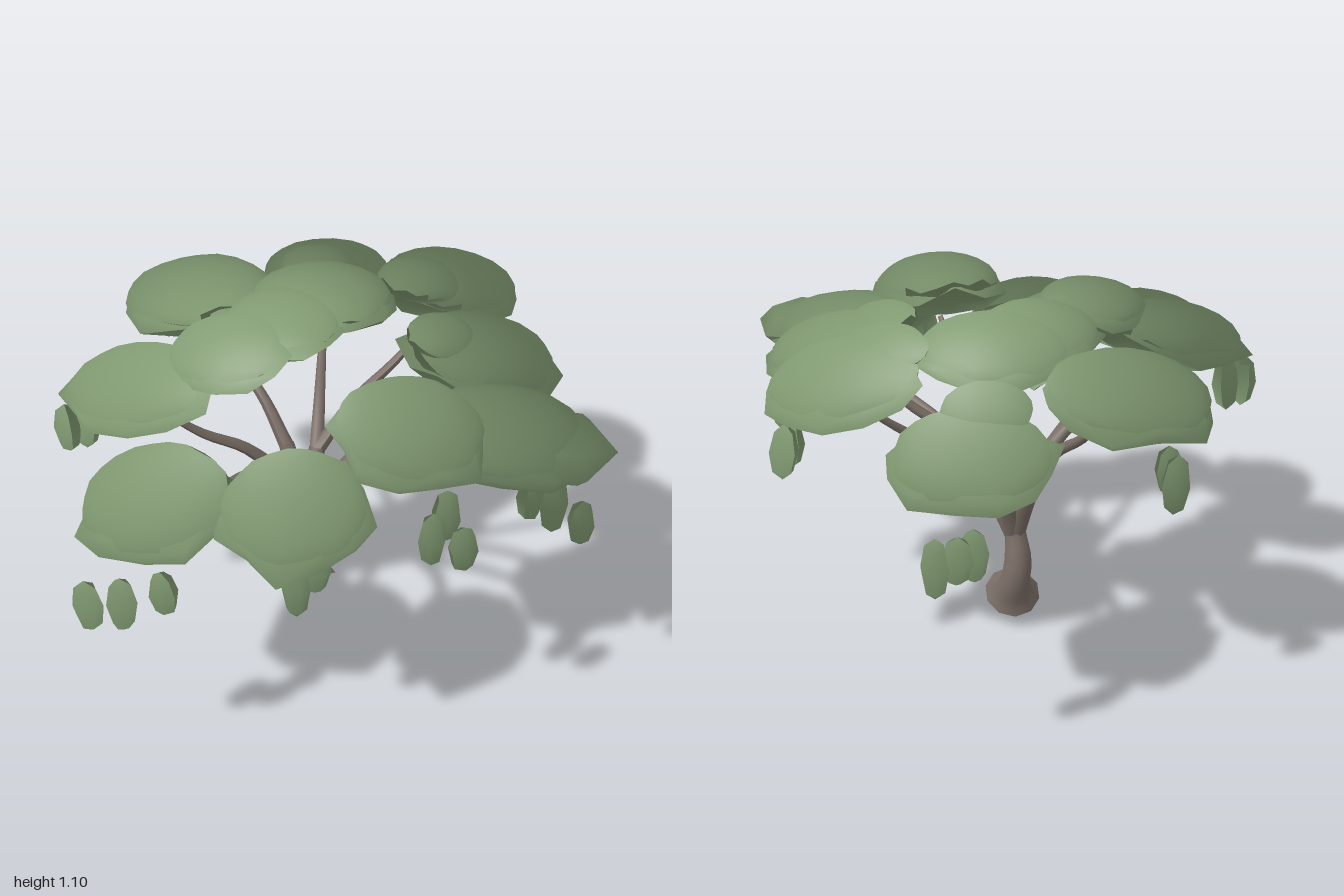
import * as THREE from 'three';
import { mergeVertices } from 'three/addons/utils/BufferGeometryUtils.js';

const V = (p) => new THREE.Vector3(...p);

// Tube along a curve whose radius follows a list of values
function taperedTube(points, radii, sides = 8) {
  const curve = new THREE.CatmullRomCurve3(points.map(V));
  const steps = 12;
  const geo = new THREE.TubeGeometry(curve, steps, 1, sides);
  const pos = geo.attributes.position;
  const p = new THREE.Vector3();
  for (let i = 0; i <= steps; i++) {
    const t = i / steps;
    const f = t * (radii.length - 1);
    const k = Math.min(Math.floor(f), radii.length - 2);
    const r = THREE.MathUtils.lerp(radii[k], radii[k + 1], f - k);
    const c = curve.getPointAt(t);
    for (let j = 0; j <= sides; j++) {
      const n = i * (sides + 1) + j;
      p.fromBufferAttribute(pos, n).sub(c).multiplyScalar(r).add(c);
      pos.setXYZ(n, p.x, p.y, p.z);
    }
  }
  geo.computeVertexNormals();
  return geo;
}

// Rounded leaf mass: domed top, shallower underside, uneven rim
function leafLump(detail, rough, seed) {
  let geo = new THREE.IcosahedronGeometry(1, detail);
  geo.deleteAttribute('uv');
  geo.deleteAttribute('normal');
  geo = mergeVertices(geo, 1e-3);
  const pos = geo.attributes.position;
  for (let i = 0; i < pos.count; i++) {
    const x = pos.getX(i), y = pos.getY(i), z = pos.getZ(i);
    const a = Math.atan2(z, x);
    const rim = 1 - Math.abs(y);
    const wave = Math.sin(a * 5 + seed * 2.3) + 0.8 * Math.sin(a * 8 + seed * 4.1 + y * 3);
    const s = 1 + rough * rim * wave;
    const h = y < 0 ? y * 0.8 : y;
    pos.setXYZ(i, x * s, h + 2 * rough * Math.sin(a * 4 + seed) * rim, z * s);
  }
  geo.computeVertexNormals();
  return geo;
}

// Soft foliage normals that point away from a source, keeping some of their own
function softenNormals(geo, source, keep) {
  const pos = geo.attributes.position, nor = geo.attributes.normal;
  const d = new THREE.Vector3(), n = new THREE.Vector3();
  for (let i = 0; i < pos.count; i++) {
    d.fromBufferAttribute(pos, i).sub(source).normalize();
    n.fromBufferAttribute(nor, i).multiplyScalar(keep).add(d).normalize();
    nor.setXYZ(i, n.x, n.y, n.z);
  }
  return geo;
}

export function createModel() {
  const tree = new THREE.Group();
  tree.name = 'flatToppedTree';
  const bark = new THREE.MeshStandardMaterial({ color: 0x796d65 });
  bark.name = 'greyBrownBark';
  const leaf = new THREE.MeshStandardMaterial({ color: 0x829b73 });
  leaf.name = 'sageLeaf';

  const add = (parent, name, geo, mat) => {
    const m = new THREE.Mesh(geo, mat);
    m.name = name;
    parent.add(m);
  };
  const group = (name) => {
    const g = new THREE.Group();
    g.name = name;
    tree.add(g);
    return g;
  };
  // Foliage is placed in the geometry so its normals can follow the whole crown
  const crownCentre = new THREE.Vector3(-0.1, 0.7, 0);
  const addLeaves = (parent, name, geo, at, turn, scale) => {
    geo.applyMatrix4(new THREE.Matrix4().compose(V(at), turn, V(scale)));
    add(parent, name, softenNormals(geo, crownCentre, 0.25), leaf);
  };

  // Trunk with a slanted, flared foot
  const foot = [-0.125, 0.055, 0.02];
  const trunkPath = [foot, [-0.145, 0.125, -0.025], [-0.152, 0.2, -0.02], [-0.135, 0.31, 0]];
  add(tree, 'trunk', taperedTube(trunkPath, [0.092, 0.062, 0.047, 0.046, 0.043, 0.037, 0.034], 10), bark);
  const down = new THREE.CatmullRomCurve3(trunkPath.map(V)).getTangentAt(0).negate();
  const facing = new THREE.Quaternion().setFromUnitVectors(new THREE.Vector3(0, 0, 1), down);
  const sole = new THREE.CircleGeometry(0.092, 10).applyQuaternion(facing).translate(...foot);
  add(tree, 'trunkBase', softenNormals(sole, V([-0.1, 0.04, -0.15]), 0.1), bark);

  // Limbs: a fork point, then the tips of the branches leaving it
  const limbs = [
    { fork: [-0.2, 0.53, 0.09], tips: [[-0.42, 0.74, 0.62], [-0.52, 0.83, 0.27]] },
    { fork: [-0.04, 0.5, 0.1], tips: [[-0.03, 0.75, 0.6], [0.23, 0.86, 0.42]] },
    { fork: [0, 0.52, 0.01], tips: [[0.45, 0.77, 0.26], [0.34, 0.84, -0.05]] },
    { fork: [-0.11, 0.51, -0.09], tips: [[-0.17, 0.77, -0.6], [0.24, 0.86, -0.42]] },
    { fork: [-0.21, 0.53, -0.07], tips: [[-0.48, 0.85, -0.29]] },
  ];
  const branches = group('branches');
  const root = [-0.135, 0.27, 0];
  for (const { fork, tips } of limbs) {
    const mid = root.map((v, i) => v + (fork[i] - v) * [0.42, 0.5, 0.42][i]);
    add(branches, 'limb', taperedTube([root, mid, fork], [0.03, 0.035, 0.026]), bark);
    for (const tip of tips) {
      const at = (f, lift) => fork.map((v, i) => v + (tip[i] - v) * f + (i === 1 ? lift : 0));
      const start = fork.map((v, i) => v + (mid[i] - v) * 0.12);
      add(branches, 'branch', taperedTube([start, at(0.3, 0.02), at(0.65, -0.005), tip],
        [0.025, 0.019, 0.015, 0.009], 7), bark);
    }
  }

  // Canopy clumps: x, y, z, radius x, radius z, half height, outward tilt
  const clumps = [
    [-0.17, 0.85, -0.68, 0.22, 0.22, 0.1, 0.16],
    [-0.54, 0.93, -0.31, 0.24, 0.23, 0.1, 0.14],
    [-0.11, 1.0, -0.22, 0.22, 0.21, 0.085, 0.08],
    [-0.21, 1.0, -0.03, 0.18, 0.18, 0.085, 0.06],
    [0.27, 0.95, -0.46, 0.22, 0.22, 0.1, 0.17],
    [0.41, 0.91, -0.08, 0.23, 0.21, 0.1, 0.16],
    [0.52, 0.86, 0.28, 0.25, 0.21, 0.1, 0.12],
    [0.25, 0.96, 0.46, 0.21, 0.2, 0.11, 0.17],
    [-0.04, 0.83, 0.7, 0.2, 0.22, 0.1, 0.14],
    [-0.43, 0.81, 0.69, 0.21, 0.21, 0.11, 0.14],
    [-0.58, 0.92, 0.28, 0.22, 0.19, 0.1, 0.14],
    [-0.33, 1.02, 0.21, 0.17, 0.17, 0.08, 0.1],
    [-0.18, 0.94, -0.55, 0.13, 0.13, 0.06, 0.15],
    [0.19, 1.01, -0.35, 0.14, 0.14, 0.065, 0.15],
    [0.29, 0.99, -0.03, 0.11, 0.11, 0.06, 0.15],
  ];
  const canopy = group('canopy');
  clumps.forEach(([x, y, z, rx, rz, h, tilt], i) => {
    const axis = new THREE.Vector3(z, 0, -(x + 0.1)).normalize();
    const turn = new THREE.Quaternion().setFromAxisAngle(axis, tilt);
    addLeaves(canopy, 'leafDome', leafLump(3, 0.02, i), [x, y, z], turn, [rx, h, rz]);
    if (rx > 0.16) {
      addLeaves(canopy, 'leafSkirt', leafLump(1, 0.08, i + 3), [x, y - h * 0.25, z], turn,
        [rx * 1.09, h * 0.85, rz * 1.09]);
    }
  });
  // Pointed leaf spray at the widest edge
  addLeaves(canopy, 'leafSpray', new THREE.SphereGeometry(1, 6, 4), [0.67, 0.84, 0.3],
    new THREE.Quaternion(), [0.17, 0.07, 0.19]);

  // Small hanging leaf tufts under the outer rim
  const tufts = [
    [-0.57, 0.62, 0.95], [-0.48, 0.62, 0.93], [-0.39, 0.59, 0.83],
    [-0.07, 0.62, 0.69], [-0.03, 0.58, 0.74], [0.02, 0.62, 0.7],
    [0.34, 0.72, 0.64], [0.37, 0.74, 0.55], [0.43, 0.72, 0.67],
    [0.6, 0.69, 0.35], [0.67, 0.69, 0.38], [0.75, 0.68, 0.44],
    [0.61, 0.72, -0.03], [0.6, 0.71, -0.11],
    [0.43, 0.75, -0.5], [0.42, 0.76, -0.58],
    [-0.14, 0.64, -0.95], [-0.19, 0.65, -0.91], [-0.22, 0.64, -0.85],
    [-0.71, 0.75, -0.5], [-0.68, 0.76, -0.43],
    [-0.81, 0.77, 0.31], [-0.76, 0.77, 0.27],
  ];
  const hanging = group('hangingTufts');
  tufts.forEach((at, i) => {
    const lean = new THREE.Euler(0.08 * Math.sin(i), i * 1.3, 0.08 * Math.cos(i * 1.7));
    addLeaves(hanging, 'hangingTuft', new THREE.SphereGeometry(1, 6, 4), at,
      new THREE.Quaternion().setFromEuler(lean), [0.045, 0.085 + 0.01 * Math.sin(i * 2.1), 0.042]);
  });

  return tree;
}
